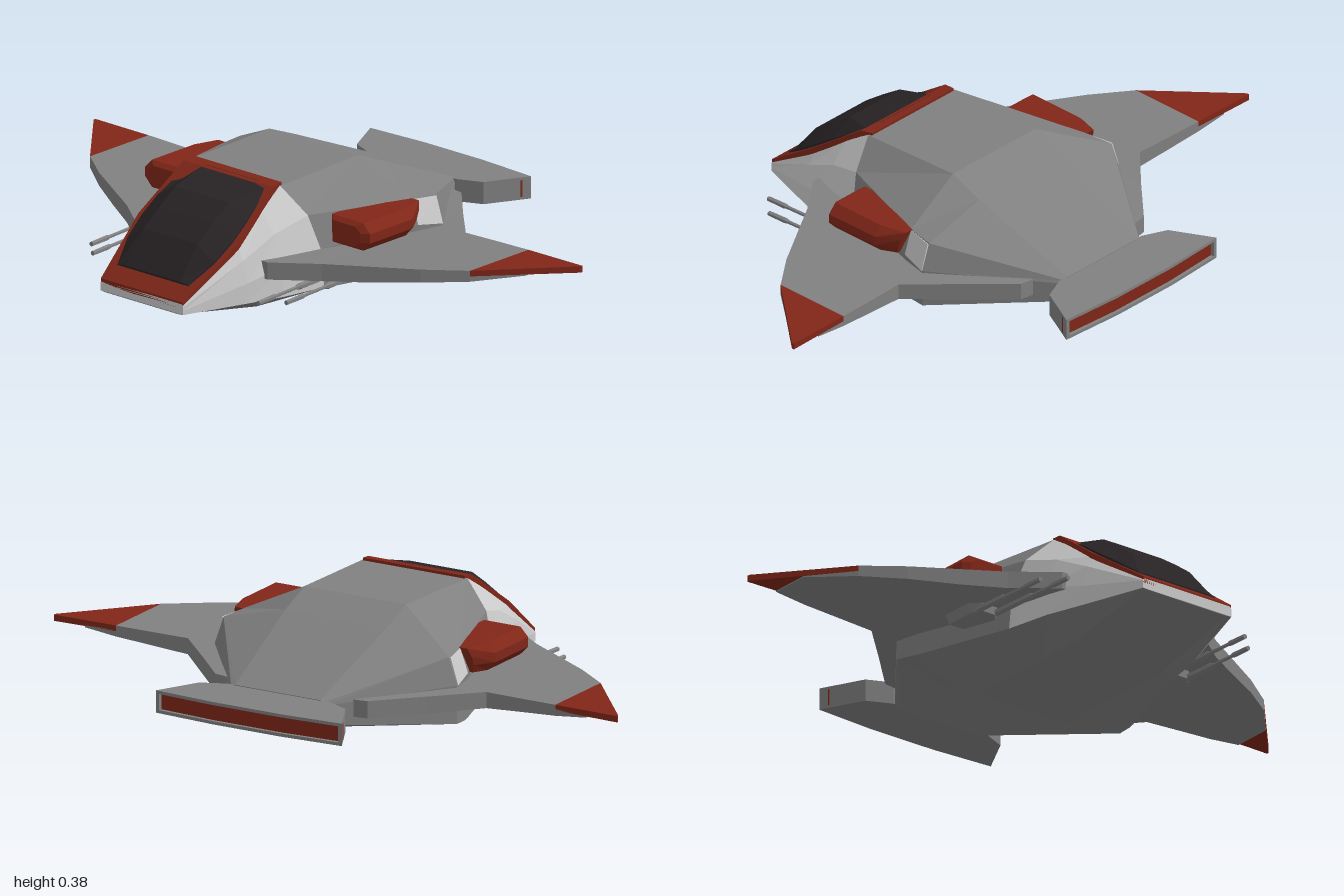
import * as THREE from 'three';

const mat = (color) => new THREE.MeshStandardMaterial({ color, flatShading: true });
const grey = mat(0x808080), light = mat(0xcccccc), red = mat(0x802618), dark = mat(0x282325);

// Closed solid through rings of equal point count; faces are turned outward by signed volume.
function loft(rings) {
  const tris = [];
  const n = rings[0].length;
  for (let r = 0; r < rings.length - 1; r++) {
    const a = rings[r], b = rings[r + 1];
    for (let i = 0; i < n; i++) {
      const j = (i + 1) % n;
      tris.push([a[i], a[j], b[j]], [a[i], b[j], b[i]]);
    }
  }
  const first = rings[0], last = rings[rings.length - 1];
  for (let i = 1; i < n - 1; i++) {
    tris.push([first[0], first[i + 1], first[i]], [last[0], last[i], last[i + 1]]);
  }
  const v = (p) => new THREE.Vector3(...p);
  let volume = 0;
  for (const [p, q, s] of tris) volume += v(p).dot(v(q).cross(v(s)));
  if (volume < 0) tris.forEach((t) => t.reverse());
  const geo = new THREE.BufferGeometry();
  geo.setAttribute('position', new THREE.Float32BufferAttribute(tris.flat(2), 3));
  geo.computeVertexNormals();
  return geo;
}

// Half section of [x, y] (or [x, y, own z]) mirrored into a full ring at z
const ring = (z, half) => [
  ...half.map(([x, y, pz = z]) => [x, y, pz]),
  ...[...half].reverse().map(([x, y, pz = z]) => [-x, y, pz]),
];

export function createModel() {
  const model = new THREE.Group();
  const add = (name, geo, material, parent = model) => {
    const mesh = new THREE.Mesh(geo, material);
    mesh.name = name;
    parent.add(mesh);
    return mesh;
  };

  // Belly below the chine
  add('belly', loft([
    ring(0.70, [[0.15, 0.055], [0.17, 0.057]]),
    ring(0.37, [[0.17, 0.0], [0.28, 0.056]]),
    ring(0.22, [[0.17, 0.0], [0.31, 0.056]]),
    ring(-0.11, [[0.17, 0.0], [0.415, 0.056]]),
    ring(-0.18, [[0.165, 0.018], [0.43, 0.065]]),
    ring(-0.52, [[0.15, 0.10], [0.17, 0.108]]),
  ]), grey);

  // Upper hull: chine, side, shoulder and roof edge at each station; light nose, grey rear
  const joint = ring(0.25, [[0.31, 0.056, 0.22], [0.305, 0.18, 0.23], [0.27, 0.285], [0.185, 0.367, 0.28]]);
  add('nose', loft([
    ring(0.70, [[0.17, 0.057], [0.17, 0.07], [0.17, 0.082], [0.165, 0.09]]),
    ring(0.49, [[0.24, 0.056], [0.24, 0.12], [0.225, 0.19], [0.20, 0.23]]),
    ring(0.37, [[0.28, 0.056], [0.275, 0.15], [0.245, 0.25], [0.19, 0.312]]),
    joint,
  ]), light);
  add('hull', loft([
    joint,
    ring(-0.09, [[0.41, 0.056], [0.41, 0.20], [0.385, 0.277], [0.18, 0.375, -0.07]]),
    ring(-0.18, [[0.43, 0.065], [0.43, 0.187], [0.40, 0.272], [0.18, 0.33]]),
    ring(-0.52, [[0.17, 0.108], [0.17, 0.17], [0.165, 0.18], [0.15, 0.185]]),
  ]), grey);

  // Canopy frame and faceted bulging glass
  add('canopyFrame', loft([[0.27, 0.18, 0.376], [0.31, 0.185, 0.37], [0.49, 0.206, 0.242], [0.70, 0.168, 0.096]]
    .map(([z, w, y]) => ring(z, [[w, y - 0.02], [w, y]]))), red);
  add('canopyGlass', loft([
    [0.298, 0.165, 0.368, 0.372], [0.43, 0.182, 0.292, 0.335],
    [0.50, 0.185, 0.243, 0.288], [0.57, 0.176, 0.195, 0.237], [0.65, 0.145, 0.134, 0.137],
  ].map(([z, w, base, top]) => ring(z, [[w, base - 0.03], [w, base], [0.11, top]]))), dark);

  // Wing stations: x, leading z, trailing z, bottom y, top y
  const wing = [
    [0.15, 0.43, -0.46, 0.125, 0.18], [0.27, 0.43, -0.44, 0.125, 0.18],
    [0.40, 0.33, -0.305, 0.125, 0.18], [0.53, 0.25, -0.175, 0.13, 0.181],
    [0.66, 0.17, -0.18, 0.14, 0.182], [0.78, 0.08, -0.183, 0.148, 0.183],
  ];
  const tip = [[0.78, 0.08, -0.183, 0.165, 0.183], [1.0, -0.177, -0.185, 0.163, 0.183]];
  const tipUnderside = [[0.78, 0.08, -0.183, 0.148, 0.17], [0.89, -0.05, -0.184, 0.160, 0.166]];
  // Pod sections: z, inner x, outer x, bottom y, top y, backward lean of the top
  const pod = [
    [0.195, 0.325, 0.435, 0.202, 0.268, 0], [0.18, 0.305, 0.462, 0.192, 0.28, 0],
    [-0.01, 0.305, 0.462, 0.192, 0.28, 0], [-0.06, 0.37, 0.422, 0.194, 0.278, 0.4],
  ];

  for (const [side, s] of [['left', 1], ['right', -1]]) {
    const group = new THREE.Group();
    group.name = side + 'Side';
    model.add(group);

    const wingLoft = (stations) => loft(stations.map(([x, lead, trail, lo, hi]) =>
      [[s * x, lo, lead], [s * x, hi, lead], [s * x, hi, trail], [s * x, lo, trail]]));
    add(side + 'Wing', wingLoft(wing), grey, group);
    add(side + 'WingTip', wingLoft(tip), red, group);
    add(side + 'WingTipUnderside', wingLoft(tipUnderside), grey, group);

    // Shoulder pod with bevelled outer edge
    add(side + 'Pod', loft(pod.map(([z, xi, xo, lo, hi, lean]) => {
      const c = (xo - xi) * 0.18, mid = (lo + hi) / 2;
      return [[xi, lo], [xo - c, lo], [xo, mid - 0.015], [xo, mid + 0.015], [xo - c, hi], [xi, hi]]
        .map(([x, y]) => [s * x, y, z - lean * (y - lo)]);
    })), red, group);

    // Light panel on the hull side behind the pod
    add(side + 'SidePanel', loft([[-0.09, 0, 0.2, 0.276], [-0.179, 0.02, 0.187, 0.271]].map(([z, dx, lo, hi]) =>
      [[0.413, lo], [0.386, hi], [0.365, hi - 0.01], [0.39, lo]]
        .map(([x, y]) => [s * (x + dx), y, z]))), light, group);

    // Gun mount under the wing with two barrels
    add(side + 'GunMount', loft([[0.2, 0.03], [0.17, 0.06], [0.06, 0.06]].map(([z, w]) =>
      [[-w, 0.13], [w, 0.13], [w * 0.75, 0.098], [-w * 0.75, 0.098]]
        .map(([x, y]) => [s * (0.37 + x), y, z]))), grey, group);
    for (const [x, muzzle] of [[0.34, 0.55], [0.40, 0.49]]) {
      const profile = [[0, 0], [0.011, 0], [0.011, 0.17], [0.006, 0.19],
        [0.006, 0.28], [0.009, 0.29], [0.008, 0.36], [0, 0.36]]
        .map(([r, h]) => new THREE.Vector2(r, h));
      const gun = add(side + 'GunBarrel', new THREE.LatheGeometry(profile, 6), grey, group);
      gun.rotation.x = Math.PI / 2 + 0.035;
      gun.position.set(s * x, 0.109, muzzle - 0.36);
    }
  }

  // Tail block: plates above and below a core whose back is recessed for a red strip
  const slab = (name, y, h, backHalf) => {
    const half = [[0.18, 0.515], [0.26, 0.55], ...backHalf];
    const outline = [...half, ...[...half].reverse().map(([x, z]) => [-x, z])];
    const geo = new THREE.ExtrudeGeometry(
      new THREE.Shape(outline.map(([x, z]) => new THREE.Vector2(x, z))),
      { depth: h, bevelEnabled: false });
    geo.rotateX(-Math.PI / 2);
    add(name, geo, grey).position.y = y;
  };
  const plateBack = [[0.33, 0.687], [0.12, 0.70]];
  slab('tailLowerPlate', 0.112, 0.01, plateBack);
  slab('tailCore', 0.122, 0.051, [[0.33, 0.687], [0.318, 0.688], [0.316, 0.672], [0.12, 0.685]]);
  slab('tailUpperPlate', 0.173, 0.01, plateBack);
  add('tailStrip', loft([[-0.317, 0.676], [-0.12, 0.689], [0.12, 0.689], [0.317, 0.676]].map(([x, z]) =>
    [[x, 0.121, -z], [x, 0.174, -z], [x, 0.174, -z + 0.02], [x, 0.121, -z + 0.02]])), red);

  return model;
}
